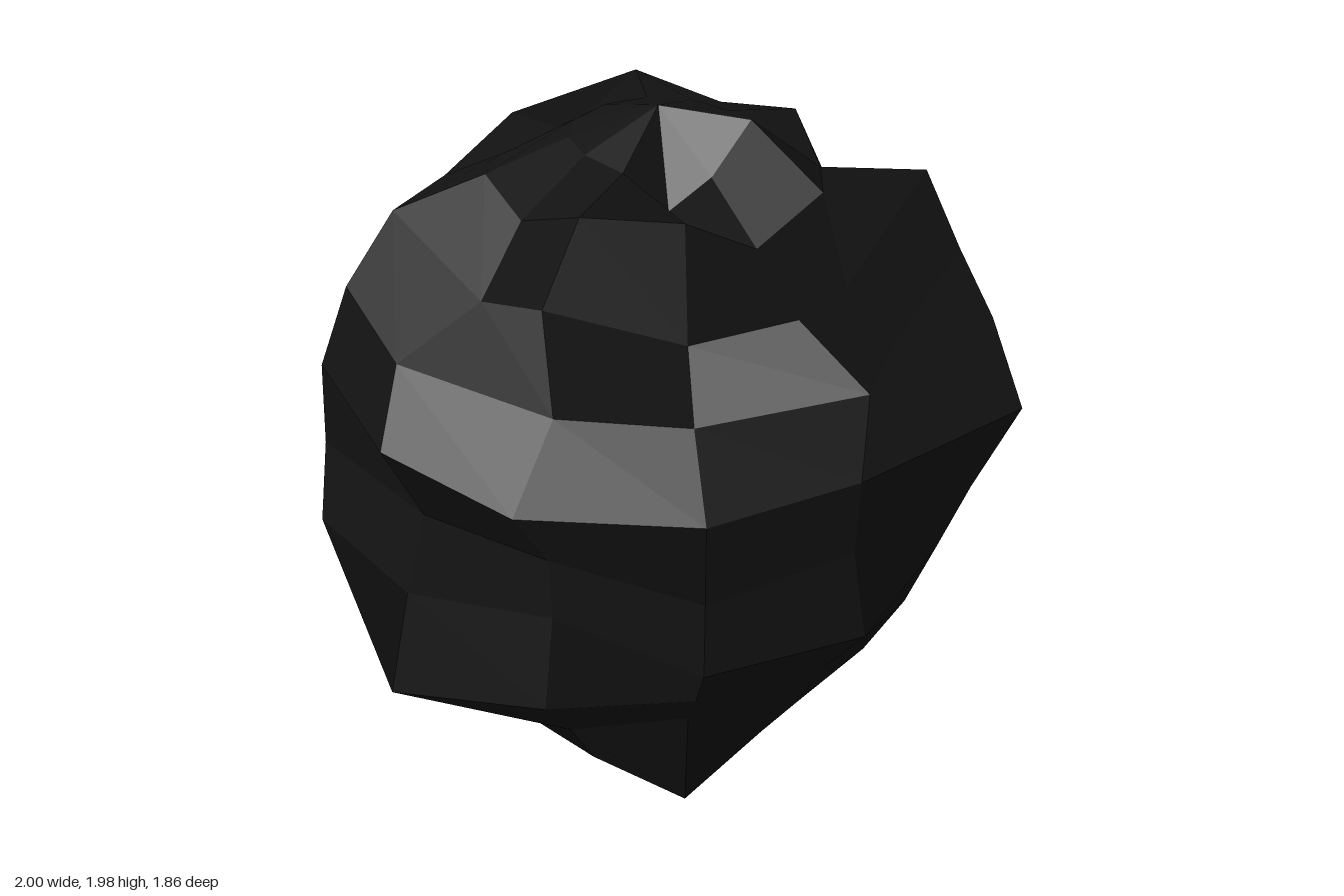
import * as THREE from 'three';

const SEGMENTS = 12, RINGS = 12, BASE_RADIUS = 0.92;

// Chips and bumps per ring (top to bottom): column -> radius.
// Column 0 faces +z, column 3 faces +x.
const BUMPS = {
  0: { 0: 0.965 },
  1: { 0: 0.87, 1: 1.0, 10: 0.9, 11: 0.78 },
  2: { 0: 0.82, 2: 0.88, 3: 0.96, 5: 1.0, 6: 0.86, 7: 0.88, 9: 0.88, 10: 1.0, 11: 1.0 },
  3: { 0: 0.82, 1: 0.76, 2: 1.04, 3: 0.85, 4: 0.86, 5: 0.87, 6: 1.0, 8: 1.0, 9: 0.81, 10: 1.02, 11: 0.79 },
  4: { 0: 0.98, 1: 0.78, 2: 0.98, 3: 0.89, 4: 0.94, 5: 0.965, 6: 0.88, 7: 0.86, 8: 0.98, 9: 0.96, 10: 0.79, 11: 0.78 },
  5: { 0: 0.87, 1: 1.07, 2: 1.0, 3: 0.93, 5: 0.905, 6: 0.89, 8: 0.97, 9: 0.932, 10: 0.96 },
  6: { 0: 0.83, 2: 0.98, 3: 0.87, 4: 1.07, 5: 0.95, 6: 0.82, 7: 0.98, 8: 0.95, 9: 0.79, 10: 0.745, 11: 0.885 },
  7: { 1: 0.87, 2: 1.0, 3: 1.1, 4: 0.87, 5: 1.06, 6: 1.0, 8: 1.02, 9: 0.89, 10: 0.76, 11: 0.91 },
  8: { 0: 0.86, 1: 0.88, 2: 0.87, 4: 1.06, 6: 0.85, 9: 1.08, 11: 0.86 },
  9: { 0: 0.9, 2: 0.85, 3: 0.74, 4: 0.95, 6: 1.0, 9: 0.93, 11: 0.86 },
  10: { 0: 0.98, 1: 0.88, 2: 0.96, 3: 0.96, 4: 0.88, 8: 0.95, 10: 1.01, 11: 1.11 },
  11: { 0: 0.9, 1: 0.9, 4: 0.96, 5: 0.95, 11: 1.055 },
  12: { 0: 0.89 },
};

function radiusAt(ring, column) {
  const atPole = ring === 0 || ring === RINGS;
  return BUMPS[ring][atPole ? 0 : column] ?? BASE_RADIUS;
}

// Gives both triangles of each four-sided facet one shared normal
function shadeByFacet(geometry) {
  geometry.computeVertexNormals();
  const normal = geometry.attributes.normal;
  const a = new THREE.Vector3(), b = new THREE.Vector3();
  const cap = SEGMENTS * 3;
  for (let i = cap; i < normal.count - cap; i += 6) {
    a.fromBufferAttribute(normal, i);
    b.fromBufferAttribute(normal, i + 3);
    a.add(b).normalize();
    for (let j = 0; j < 6; j++) normal.setXYZ(i + j, a.x, a.y, a.z);
  }
}

export function createModel() {
  const group = new THREE.Group();
  group.name = 'rock';

  // Boulder: a coarse sphere pushed in and out along its radius
  const sphere = new THREE.SphereGeometry(1, SEGMENTS, RINGS);
  const position = sphere.attributes.position;
  const vertex = new THREE.Vector3();
  for (let ring = 0; ring <= RINGS; ring++) {
    for (let i = 0; i <= SEGMENTS; i++) {
      const index = ring * (SEGMENTS + 1) + i;
      const column = (i + 9) % SEGMENTS;
      vertex.fromBufferAttribute(position, index).multiplyScalar(radiusAt(ring, column));
      position.setXYZ(index, vertex.x, vertex.y, vertex.z);
    }
  }
  const geometry = sphere.toNonIndexed();
  shadeByFacet(geometry);

  const boulder = new THREE.Mesh(geometry, new THREE.MeshStandardMaterial({ color: 0x131313 }));
  boulder.name = 'boulder';
  boulder.position.set(-0.06, 1.02, 0.03);
  group.add(boulder);

  return group;
}
